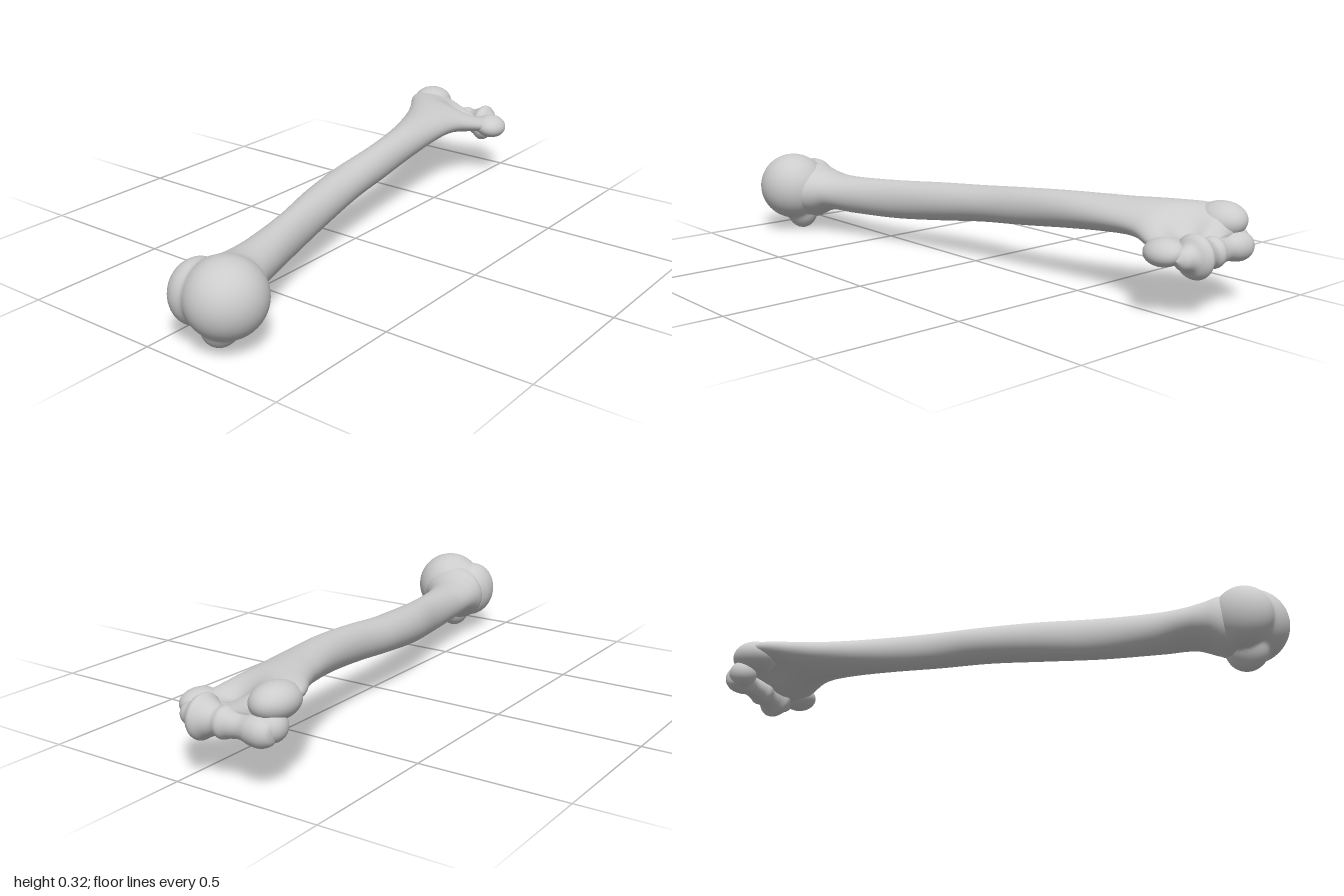
import * as THREE from 'three';

const material = new THREE.MeshStandardMaterial({ color: 0xcccccc, side: THREE.DoubleSide });

function addPart(group, name, geometry) {
  const mesh = new THREE.Mesh(geometry, material);
  mesh.name = name;
  group.add(mesh);
  return mesh;
}

// Shaft cross-sections: [z, centre x, centre y, half width, half height, tilt]
const sections = [
  [-0.93, -0.13, 0.215, 0.10, 0.015, -0.2],
  [-0.90, -0.13, 0.23, 0.155, 0.035, -0.22],
  [-0.86, -0.135, 0.238, 0.175, 0.048, -0.22],
  [-0.80, -0.148, 0.248, 0.168, 0.052, -0.2],
  [-0.70, -0.138, 0.256, 0.12, 0.054, -0.18],
  [-0.60, -0.117, 0.254, 0.093, 0.056, -0.15],
  [-0.40, -0.078, 0.243, 0.067, 0.062, -0.1],
  [-0.20, -0.053, 0.225, 0.058, 0.065, 0],
  [0.00, -0.040, 0.205, 0.065, 0.065, 0],
  [0.20, -0.010, 0.185, 0.065, 0.070, 0],
  [0.40, 0.035, 0.168, 0.060, 0.072, 0],
  [0.60, 0.080, 0.160, 0.075, 0.070, 0],
  [0.70, 0.105, 0.162, 0.096, 0.070, 0],
  [0.76, 0.132, 0.160, 0.120, 0.086, 0],
  [0.82, 0.140, 0.155, 0.118, 0.105, 0],
  [0.90, 0.140, 0.155, 0.060, 0.060, 0],
];

// Smooth values between the sections, with z as the parameter
function sectionAt(z) {
  let i = 0;
  while (i < sections.length - 2 && z > sections[i + 1][0]) i++;
  const p1 = sections[i], p2 = sections[i + 1];
  const p0 = sections[Math.max(i - 1, 0)], p3 = sections[Math.min(i + 2, sections.length - 1)];
  const h = p2[0] - p1[0], t = (z - p1[0]) / h;
  const t2 = t * t, t3 = t2 * t;
  return p1.map((a, k) => {
    const m1 = (p2[k] - p0[k]) / (p2[0] - p0[0]) * h;
    const m2 = (p3[k] - p1[k]) / (p3[0] - p1[0]) * h;
    return (2 * t3 - 3 * t2 + 1) * a + (t3 - 2 * t2 + t) * m1 + (3 * t2 - 2 * t3) * p2[k] + (t3 - t2) * m2;
  });
}

function bump(x, z, cx, cz, wx, wz) {
  return Math.exp(-(((x - cx) / wx) ** 2) - ((z - cz) / wz) ** 2);
}

function shaftGeometry(rings = 150, sides = 56) {
  const positions = [], index = [];
  const z0 = sections[0][0], z1 = sections[sections.length - 1][0];
  for (let i = 0; i <= rings; i++) {
    const z = z0 + (z1 - z0) * i / rings;
    const [, cx, cy, rx, ry, tilt] = sectionAt(z);
    for (let j = 0; j < sides; j++) {
      const a = j / sides * Math.PI * 2;
      const u = rx * Math.cos(a), v = ry * Math.sin(a);
      const x = cx + u * Math.cos(tilt) - v * Math.sin(tilt);
      let y = cy + u * Math.sin(tilt) + v * Math.cos(tilt);
      // Hollows above and below the elbow end
      if (v > 0) y -= 0.055 * Math.sin(a) * bump(x, z, -0.1, -0.85, 0.075, 0.06);
      else y -= 0.035 * Math.sin(a) * bump(x, z, -0.2, -0.82, 0.08, 0.07);
      positions.push(x, y, z);
    }
  }
  for (let i = 0; i < rings; i++) {
    for (let j = 0; j < sides; j++) {
      const a = i * sides + j, b = i * sides + (j + 1) % sides;
      index.push(a, b, a + sides, b, b + sides, a + sides);
    }
  }
  // Close both ends
  for (let j = 1; j < sides - 1; j++) {
    const e = rings * sides;
    index.push(0, j + 1, j, e, e + j, e + j + 1);
  }
  const geometry = new THREE.BufferGeometry();
  geometry.setAttribute('position', new THREE.Float32BufferAttribute(positions, 3));
  geometry.setIndex(index);
  geometry.computeVertexNormals();
  return geometry;
}

// Blend of overlapping ellipsoids that all contain the point `origin`
function blendGeometry(origin, ellipsoids, power) {
  const geometry = new THREE.SphereGeometry(1, 72, 48);
  const pos = geometry.attributes.position;
  const d = new THREE.Vector3();
  for (let i = 0; i < pos.count; i++) {
    d.fromBufferAttribute(pos, i).normalize();
    let sum = 0;
    for (const [c, r] of ellipsoids) {
      const q = origin.map((o, k) => (o - c[k]) / r[k]);
      const e = [d.x / r[0], d.y / r[1], d.z / r[2]];
      const dot = (m, n) => m[0] * n[0] + m[1] * n[1] + m[2] * n[2];
      const A = dot(e, e), B = dot(q, e), C = dot(q, q) - 1;
      const exit = (-B + Math.sqrt(Math.max(B * B - A * C, 0))) / A;
      sum += Math.max(exit, 0) ** power;
    }
    d.multiplyScalar(sum ** (1 / power));
    pos.setXYZ(i, origin[0] + d.x, origin[1] + d.y, origin[2] + d.z);
  }
  geometry.computeVertexNormals();
  return geometry;
}

function addKnob(group, name, centre, radii, tilt = 0) {
  const knob = addPart(group, name, new THREE.SphereGeometry(1, 40, 28));
  knob.position.set(...centre);
  knob.scale.set(...radii);
  knob.rotation.z = tilt;
}

export function createModel() {
  const model = new THREE.Group();
  model.name = 'upperArmBone';
  addPart(model, 'shaft', shaftGeometry());

  // Rounded head with the side and lower tubercles blended in
  addPart(model, 'head', blendGeometry([0.15, 0.15, 0.865], [
    [[0.2, 0.173, 0.868], [0.126, 0.126, 0.13]],
    [[0.098, 0.165, 0.875], [0.082, 0.104, 0.1]],
    [[0.17, 0.085, 0.86], [0.058, 0.082, 0.075]],
    [[0.1, 0.13, 0.86], [0.06, 0.07, 0.09]],
  ], 24));

  // Grooved joint roller, turned around the x axis
  const profile = [
    [0.0, -0.305], [0.03, -0.298], [0.046, -0.27], [0.046, -0.235], [0.037, -0.195],
    [0.042, -0.155], [0.05, -0.13], [0.045, -0.105], [0.056, -0.075], [0.07, -0.05],
    [0.062, -0.03], [0.042, -0.012], [0.028, 0.02], [0.0, 0.04],
  ].map(([r, x]) => new THREE.Vector2(r, x));
  const smooth = new THREE.SplineCurve(profile).getPoints(70).map(p => new THREE.Vector2(Math.max(p.x, 0), p.y));
  const roller = addPart(model, 'jointRoller', new THREE.LatheGeometry(smooth, 44));
  roller.rotation.z = -Math.PI / 2;
  roller.position.set(0, 0.19, -0.928);

  // Knobs on both sides of the elbow end
  addKnob(model, 'rightEpicondyle', [-0.257, 0.262, -0.862], [0.072, 0.057, 0.085], -0.15);
  addKnob(model, 'rightCondyle', [-0.272, 0.2, -0.9], [0.048, 0.048, 0.05]);
  addKnob(model, 'leftEpicondyle', [0.022, 0.205, -0.868], [0.057, 0.042, 0.066], -0.2);
  return model;
}
